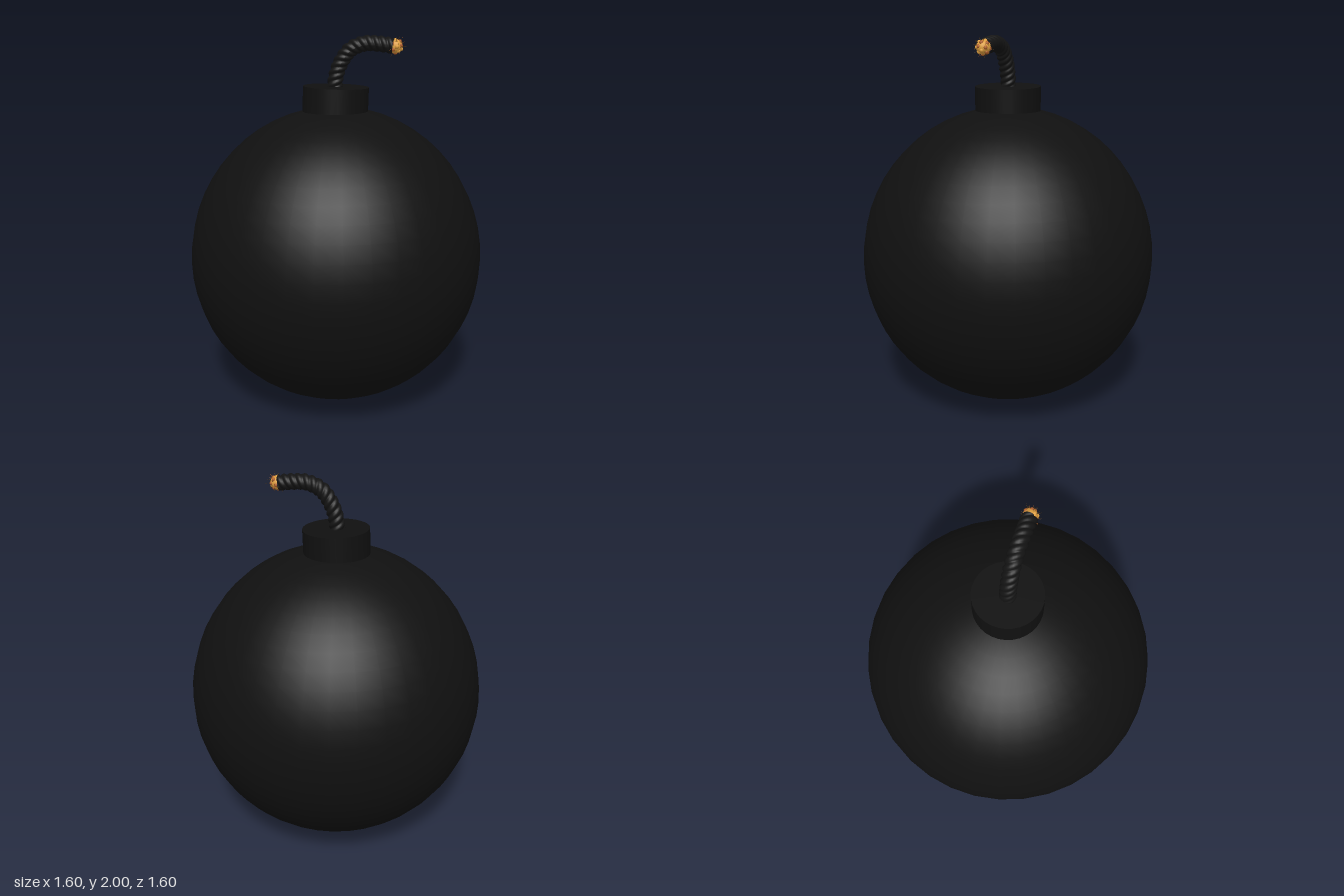
import * as THREE from 'three';

export function createModel() {
  const group = new THREE.Group();
  const mat = (name, color) => {
    const m = new THREE.MeshStandardMaterial({ color });
    m.name = name;
    return m;
  };
  const iron = mat('black iron', 0x101010);
  const rope = mat('black rope', 0x131313);
  const amber = mat('glowing amber', 0xe0a040);
  const orange = mat('burnt orange', 0xb0602a);
  const brown = mat('charred brown', 0x5a3a14);

  const add = (name, geometry, material, parent = group) => {
    const mesh = new THREE.Mesh(geometry, material);
    mesh.name = name;
    parent.add(mesh);
    return mesh;
  };

  // Body: a ball whose upper half is drawn up slightly toward the neck
  const ball = new THREE.SphereGeometry(0.798, 36, 28);
  const bp = ball.attributes.position;
  for (let i = 0; i < bp.count; i++) {
    const y = bp.getY(i);
    bp.setY(i, y > 0 ? y * 1.03 : y * 1.002);
  }
  add('body', ball, iron).position.y = 0.8;

  // Neck: short collar, leaning a little
  const collar = add('neck', new THREE.CylinderGeometry(0.176, 0.176, 0.22, 32), iron);
  collar.position.set(-0.003, 1.621, 0);
  collar.rotation.z = -0.03;

  // Fuse: tube bent along a curve, with twisted strands pressed into it
  const path = new THREE.CatmullRomCurve3([
    [-0.006, 1.68, 0], [-0.004, 1.76, 0], [0.022, 1.85, 0.006], [0.075, 1.925, 0.02],
    [0.15, 1.957, 0.042], [0.23, 1.955, 0.064], [0.295, 1.945, 0.08],
  ].map((p) => new THREE.Vector3(...p)));
  const steps = 110, sides = 24, strands = 3;
  const fuse = new THREE.TubeGeometry(path, steps, 0.04, sides, false);
  const fp = fuse.attributes.position;
  const v = new THREE.Vector3();
  for (let i = 0; i <= steps; i++) {
    const centre = path.getPointAt(i / steps);
    for (let j = 0; j <= sides; j++) {
      const k = i * (sides + 1) + j;
      const angle = (j / sides) * Math.PI * 2 * strands + (i / steps) * Math.PI * 2 * 14;
      const swell = 0.86 + 0.2 * Math.abs(Math.cos(angle / 2));
      v.fromBufferAttribute(fp, k).sub(centre).multiplyScalar(swell).add(centre);
      fp.setXYZ(k, v.x, v.y, v.z);
    }
  }
  fuse.computeVertexNormals();
  add('fuse', fuse, rope);

  // Ember: glowing lump on the end of the fuse, local +y pointing along the fuse
  const ember = new THREE.Group();
  ember.name = 'ember';
  ember.position.set(0.305, 1.944, 0.083);
  const up = new THREE.Vector3(0, 1, 0);
  ember.quaternion.setFromUnitVectors(up, path.getTangentAt(1));
  group.add(ember);
  add('emberCore', new THREE.IcosahedronGeometry(0.037, 2), amber, ember);

  // Small coals and thin sparks spread evenly over the lump
  const spread = (i, n, low) => {
    const y = 1 - (1 - low) * (i + 0.5) / n;
    const r = Math.sqrt(1 - y * y), a = i * 2.39996;
    return new THREE.Vector3(r * Math.cos(a), y, r * Math.sin(a));
  };
  for (let i = 0; i < 16; i++) {
    const coal = add('coal', new THREE.IcosahedronGeometry(0.011, 1), i % 3 ? orange : amber, ember);
    coal.position.copy(spread(i, 16, -0.6)).multiplyScalar(0.032);
  }
  for (let i = 0; i < 34; i++) {
    const dir = spread(i, 34, -0.45);
    const length = 0.026 + 0.016 * ((i * 7) % 5) / 4;
    const spark = add('spark', new THREE.ConeGeometry(0.0022, length, 5), i % 4 ? brown : orange, ember);
    spark.position.copy(dir).multiplyScalar(0.03 + length / 2 - 0.008);
    spark.quaternion.setFromUnitVectors(up, dir);
  }

  return group;
}
